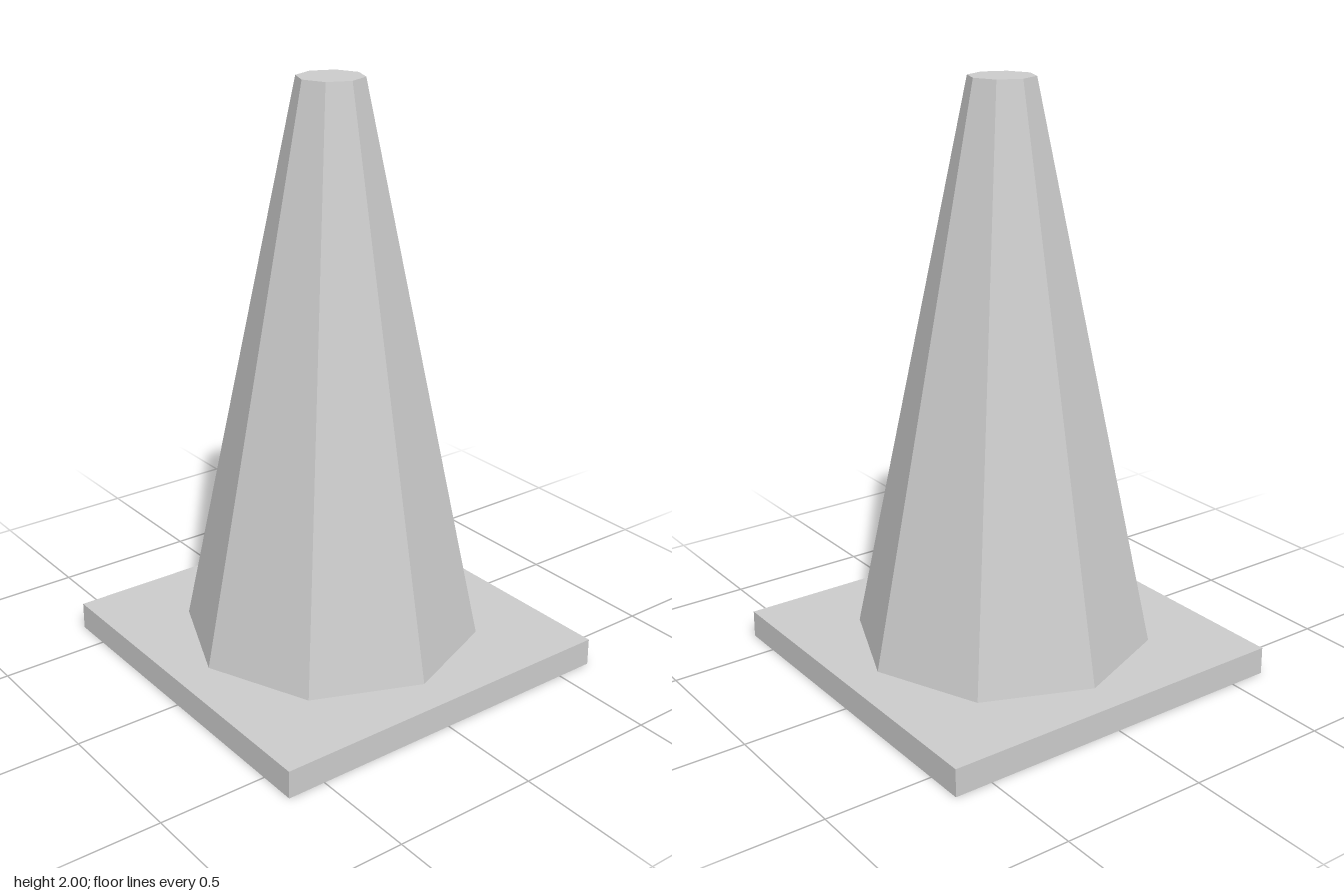
import * as THREE from 'three';

const BASE_WIDTH = 1.264;
const BASE_HEIGHT = 0.095;
const TOTAL_HEIGHT = 2;
const SIDES = 8;

export function createModel() {
  const model = new THREE.Group();
  model.name = 'trafficCone';

  const grey = new THREE.MeshStandardMaterial({ color: 0xcccccc, flatShading: true });
  grey.name = 'light grey';

  // Square foot plate
  const base = new THREE.Mesh(new THREE.BoxGeometry(BASE_WIDTH, BASE_HEIGHT, BASE_WIDTH), grey);
  base.name = 'basePlate';
  base.position.y = BASE_HEIGHT / 2;
  model.add(base);

  // Eight-sided tapering body with a flat closed top
  const bodyHeight = TOTAL_HEIGHT - BASE_HEIGHT;
  const body = new THREE.Mesh(new THREE.CylinderGeometry(0.11, 0.507, bodyHeight, SIDES), grey);
  body.name = 'coneBody';
  body.position.y = BASE_HEIGHT + bodyHeight / 2;
  model.add(body);

  return model;
}
